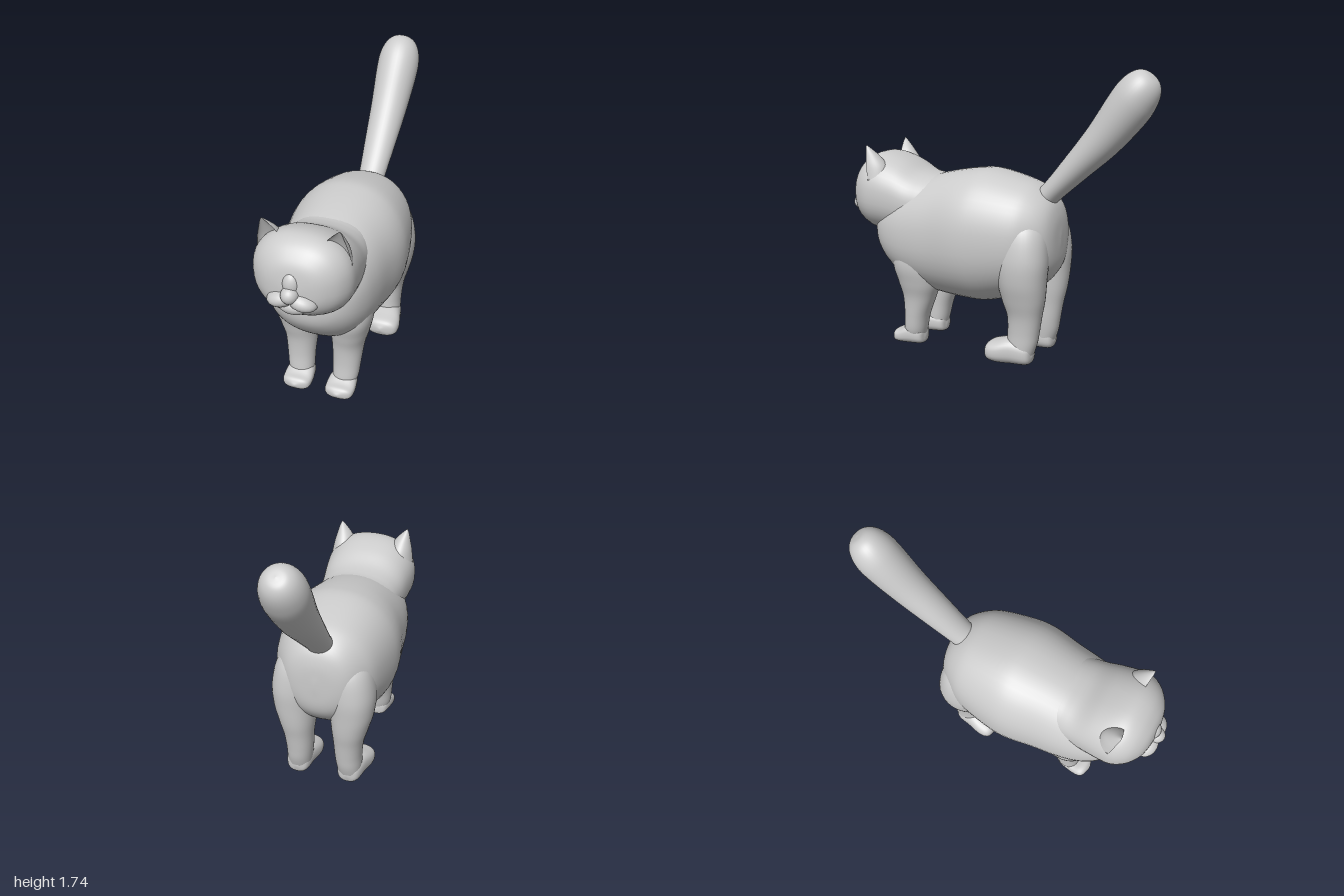
import * as THREE from 'three';

const material = new THREE.MeshStandardMaterial({ color: 0xcccccc });

// Smooth skin through rings [x, y, z, halfWidth, halfDepth], whose planes face (0, ay, az).
// power squares the section off; bend(c, s) may reshape it.
function loft(name, rings, [ay, az], { power = 2, sides = 36, steps = 5, bend = (c, s) => [c, s] } = {}) {
  const len = Math.hypot(ay, az);
  const centres = new THREE.CatmullRomCurve3(rings.map(r => new THREE.Vector3(r[0], r[1], r[2])), false, 'catmullrom');
  const radii = new THREE.CatmullRomCurve3(rings.map(r => new THREE.Vector3(r[3], r[4], 0)), false, 'catmullrom');
  const count = (rings.length - 1) * steps;
  const round = v => Math.sign(v) * Math.pow(Math.abs(v), 2 / power);
  const pos = [], index = [];
  for (let i = 0; i <= count; i++) {
    const p = centres.getPoint(i / count), r = radii.getPoint(i / count);
    for (let j = 0; j < sides; j++) {
      const a = j / sides * Math.PI * 2;
      const [c, s] = bend(round(Math.cos(a)), round(Math.sin(a)));
      const u = c * Math.max(r.x, 0.001), v = s * Math.max(r.y, 0.001);
      pos.push(p.x + u, p.y + v * az / len, p.z - v * ay / len);
      if (i < count) {
        const k = (j + 1) % sides, b = i * sides, t = b + sides;
        index.push(b + j, b + k, t + k, b + j, t + k, t + j);
      }
    }
  }
  // End caps
  const last = count * sides;
  for (let j = 1; j < sides - 1; j++) index.push(0, j + 1, j, last, last + j, last + j + 1);
  const geometry = new THREE.BufferGeometry();
  geometry.setAttribute('position', new THREE.Float32BufferAttribute(pos, 3));
  geometry.setIndex(index);
  geometry.computeVertexNormals();
  const mesh = new THREE.Mesh(geometry, material);
  mesh.name = name;
  return mesh;
}

// Ring along z, given by its lower and upper edge
const slice = (z, low, high, halfWidth, x = 0) => [x, (low + high) / 2, z, halfWidth, (high - low) / 2];

function blob(name, [x, y, z], [rx, ry, rz], tilt = 0) {
  const mesh = new THREE.Mesh(new THREE.SphereGeometry(1, 24, 16), material);
  mesh.name = name;
  mesh.position.set(x, y, z);
  mesh.scale.set(rx, ry, rz);
  mesh.rotation.z = tilt;
  return mesh;
}

export function createModel() {
  const model = new THREE.Group();
  model.name = 'cat';
  const alongZ = [0, 1], alongY = [1, 0];

  // Torso from rump to chest
  model.add(loft('torso', [
    slice(-0.425, 0.72, 0.78, 0.01), slice(-0.415, 0.6, 0.89, 0.12), slice(-0.38, 0.52, 0.98, 0.2),
    slice(-0.3, 0.44, 1.05, 0.27), slice(-0.2, 0.39, 1.09, 0.318), slice(0, 0.33, 1.135, 0.358),
    slice(0.13, 0.325, 1.13, 0.364), slice(0.3, 0.335, 1.1, 0.338), slice(0.45, 0.36, 1.06, 0.322),
    slice(0.57, 0.405, 1.02, 0.3), slice(0.67, 0.48, 0.96, 0.26), slice(0.74, 0.56, 0.9, 0.2),
    slice(0.775, 0.63, 0.83, 0.12), slice(0.785, 0.72, 0.74, 0.01),
  ], alongZ, { power: 2.2, sides: 48 }));

  // Head running back into the neck
  model.add(loft('head', [
    slice(0.2, 0.75, 1.0, 0.18), slice(0.33, 0.7, 1.07, 0.235), slice(0.42, 0.69, 1.08, 0.255),
    slice(0.5, 0.69, 1.1, 0.265), slice(0.6, 0.69, 1.155, 0.278), slice(0.7, 0.695, 1.19, 0.288),
    slice(0.78, 0.705, 1.195, 0.285), slice(0.85, 0.735, 1.165, 0.25), slice(0.9, 0.77, 1.115, 0.195),
    slice(0.93, 0.81, 1.06, 0.135), slice(0.945, 0.88, 0.98, 0.06), slice(0.948, 0.92, 0.94, 0.005),
  ], alongZ, { power: 2.3, sides: 48 }));

  // Face
  model.add(blob('nose', [0, 0.915, 0.945], [0.05, 0.05, 0.055]));
  model.add(blob('noseBridge', [0, 0.97, 0.92], [0.05, 0.07, 0.045]));
  model.add(blob('chin', [0, 0.825, 0.9], [0.09, 0.05, 0.06]));

  // Tail, rising backwards
  model.add(loft('tail', [
    [0, 0.93, -0.26, 0.08, 0.08], [0, 1.01, -0.35, 0.083, 0.066], [0, 1.18, -0.515, 0.1, 0.086],
    [0, 1.345, -0.67, 0.115, 0.11], [0, 1.525, -0.81, 0.13, 0.13], [0, 1.61, -0.872, 0.126, 0.125],
    [0, 1.67, -0.918, 0.1, 0.1], [0, 1.702, -0.944, 0.058, 0.058], [0, 1.71, -0.95, 0.003, 0.003],
  ], [0.74, -0.67]));

  for (const [side, s] of [['left', 1], ['right', -1]]) {
    model.add(blob(side + 'MuzzlePad', [s * 0.06, 0.872, 0.918], [0.085, 0.05, 0.068], s * -0.25));
    model.add(blob(side + 'ClosedEye', [s * 0.115, 0.995, 0.885], [0.055, 0.03, 0.03], s * -0.1));

    // Ear with a hollow front
    model.add(loft(side + 'Ear', [
      [s * 0.19, 1.04, 0.75, 0.085, 0.11], [s * 0.19, 1.12, 0.765, 0.072, 0.1],
      [s * 0.197, 1.18, 0.775, 0.05, 0.065], [s * 0.213, 1.23, 0.785, 0.02, 0.025],
      [s * 0.22, 1.252, 0.788, 0.002, 0.002],
    ], alongY, { bend: (c, v) => [c, v < 0 ? -0.4 * v : v] }));

    // Front leg and paw
    model.add(loft(side + 'FrontLeg', [
      [s * 0.13, 0.03, 0.51, 0.06, 0.06], [s * 0.14, 0.1, 0.5, 0.077, 0.07],
      [s * 0.145, 0.2, 0.485, 0.084, 0.078], [s * 0.148, 0.32, 0.465, 0.095, 0.105],
      [s * 0.158, 0.42, 0.46, 0.112, 0.135], [s * 0.168, 0.55, 0.47, 0.125, 0.15],
      [s * 0.165, 0.75, 0.47, 0.1, 0.1],
    ], alongY, { power: 2.2 }));
    model.add(loft(side + 'FrontPaw', [
      slice(0.435, 0.03, 0.06, 0.01, s * 0.135), slice(0.45, 0.01, 0.11, 0.06, s * 0.135),
      slice(0.52, 0.005, 0.13, 0.083, s * 0.135), slice(0.59, 0.006, 0.095, 0.088, s * 0.135),
      slice(0.63, 0.012, 0.083, 0.072, s * 0.135), slice(0.652, 0.04, 0.055, 0.01, s * 0.135),
    ], alongZ, { power: 2.6 }));

    // Hind leg and paw
    model.add(loft(side + 'HindLeg', [
      [s * 0.165, 0.03, -0.24, 0.07, 0.07], [s * 0.16, 0.12, -0.25, 0.078, 0.09],
      [s * 0.157, 0.2, -0.258, 0.083, 0.096], [s * 0.16, 0.3, -0.265, 0.092, 0.105],
      [s * 0.168, 0.4, -0.26, 0.112, 0.13], [s * 0.178, 0.52, -0.255, 0.132, 0.147],
      [s * 0.175, 0.66, -0.25, 0.142, 0.158], [s * 0.15, 0.82, -0.24, 0.13, 0.14],
      [s * 0.13, 0.93, -0.22, 0.06, 0.06],
    ], alongY, { power: 2.2 }));
    model.add(loft(side + 'HindPaw', [
      slice(-0.322, 0.05, 0.08, 0.01, s * 0.165), slice(-0.3, 0.005, 0.13, 0.065, s * 0.165),
      slice(-0.2, 0, 0.16, 0.09, s * 0.168), slice(-0.11, 0, 0.14, 0.108, s * 0.17),
      slice(-0.05, 0.015, 0.12, 0.09, s * 0.172), slice(-0.025, 0.055, 0.08, 0.01, s * 0.172),
    ], alongZ, { power: 2.5 }));
  }
  return model;
}
